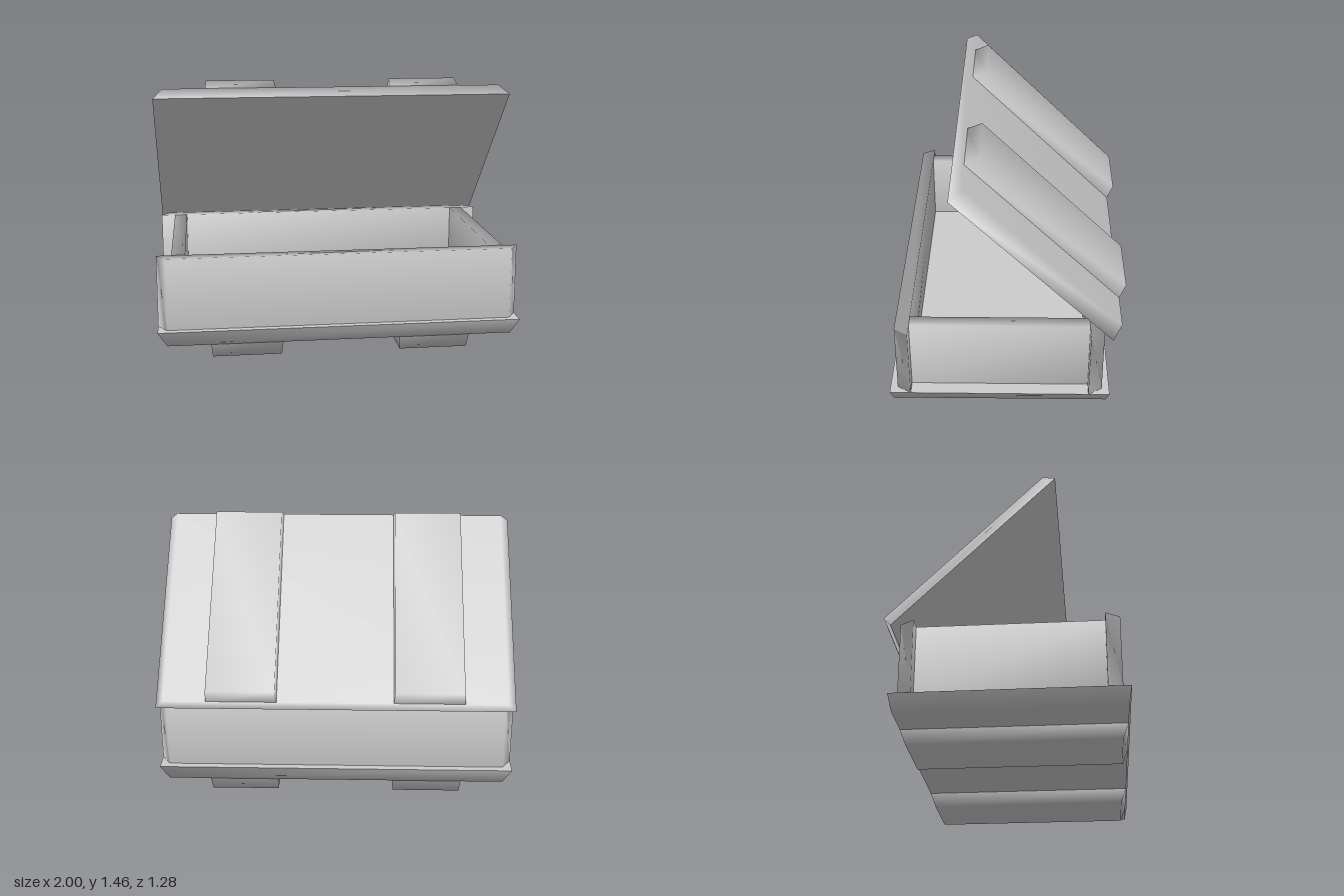
import * as THREE from 'three';

const material = new THREE.MeshStandardMaterial({ color: 0xcccccc });

const SLAB = 0.08; // slab thickness, also strap height
const WALL = 0.4; // wall height
const FLOOR = 0.16; // height of the crate floor

// Joins two rectangles [halfX, halfZ, y] into a closed, smooth-shaded frustum.
// With flatBase the base face gets its own corners, so its rim stays sharp.
function frustum(bottom, top, flatBase) {
  const positions = [];
  const index = [];
  const addLoop = ([x, z, y]) => positions.push(x, y, z, x, y, -z, -x, y, -z, -x, y, z);
  addLoop(bottom);
  addLoop(top);
  for (let a = 0; a < 4; a++) {
    const b = (a + 1) % 4;
    index.push(a, b, b + 4, a, b + 4, a + 4);
  }
  index.push(4, 5, 6, 4, 6, 7);
  const base = flatBase ? 8 : 0;
  if (flatBase) addLoop(bottom);
  index.push(base, base + 2, base + 1, base, base + 3, base + 2);

  const geometry = new THREE.BufferGeometry();
  geometry.setAttribute('position', new THREE.Float32BufferAttribute(positions, 3));
  geometry.setIndex(index);
  geometry.computeVertexNormals();
  return geometry;
}

function addMesh(parent, name, geometry) {
  const mesh = new THREE.Mesh(geometry, material);
  mesh.name = name;
  parent.add(mesh);
  return mesh;
}

// Bevelled slab with two raised straps on its outer side (+y).
function makePanel(name, strapName) {
  const group = new THREE.Group();
  group.name = name;
  addMesh(group, name + 'Slab', frustum([1, 0.5975, 0], [0.95, 0.583, SLAB], true));

  const strap = frustum([0.196, 0.583, SLAB], [0.189, 0.5525, 2 * SLAB], true);
  for (const s of [-1, 1]) {
    addMesh(group, strapName, strap).position.x = s * 0.518;
  }
  return group;
}

export function createModel() {
  const model = new THREE.Group();
  model.name = 'openCrate';

  // Base, outer side down
  const base = makePanel('base', 'skid');
  base.rotation.z = Math.PI;
  base.position.set(0, FLOOR, 0.0425);
  model.add(base);

  // Long walls, narrowing outwards
  const longWall = frustum([1, WALL / 2, 0], [0.95, WALL / 2, 0.075], false);
  for (const [name, s, z] of [['frontWall', 1, 0.525], ['backWall', -1, -0.44]]) {
    const wall = addMesh(model, name, longWall);
    wall.rotation.x = s * Math.PI / 2;
    wall.position.set(0, FLOOR + WALL / 2, z);
  }

  // Short walls set in from the ends
  const shortWall = frustum([WALL / 2, 0.4825, 0], [WALL / 2, 0.4825, 0.075], false);
  for (const [name, s] of [['leftWall', 1], ['rightWall', -1]]) {
    const wall = addMesh(model, name, shortWall);
    wall.rotation.z = -s * Math.PI / 2;
    wall.position.set(s * 0.843, FLOOR + WALL / 2, 0.0425);
  }

  // Lid, tilted open above the back wall
  const lid = makePanel('lid', 'lidStrap');
  lid.rotation.x = -Math.PI / 4;
  lid.position.set(0, 0.957, -0.135);
  model.add(lid);

  return model;
}
